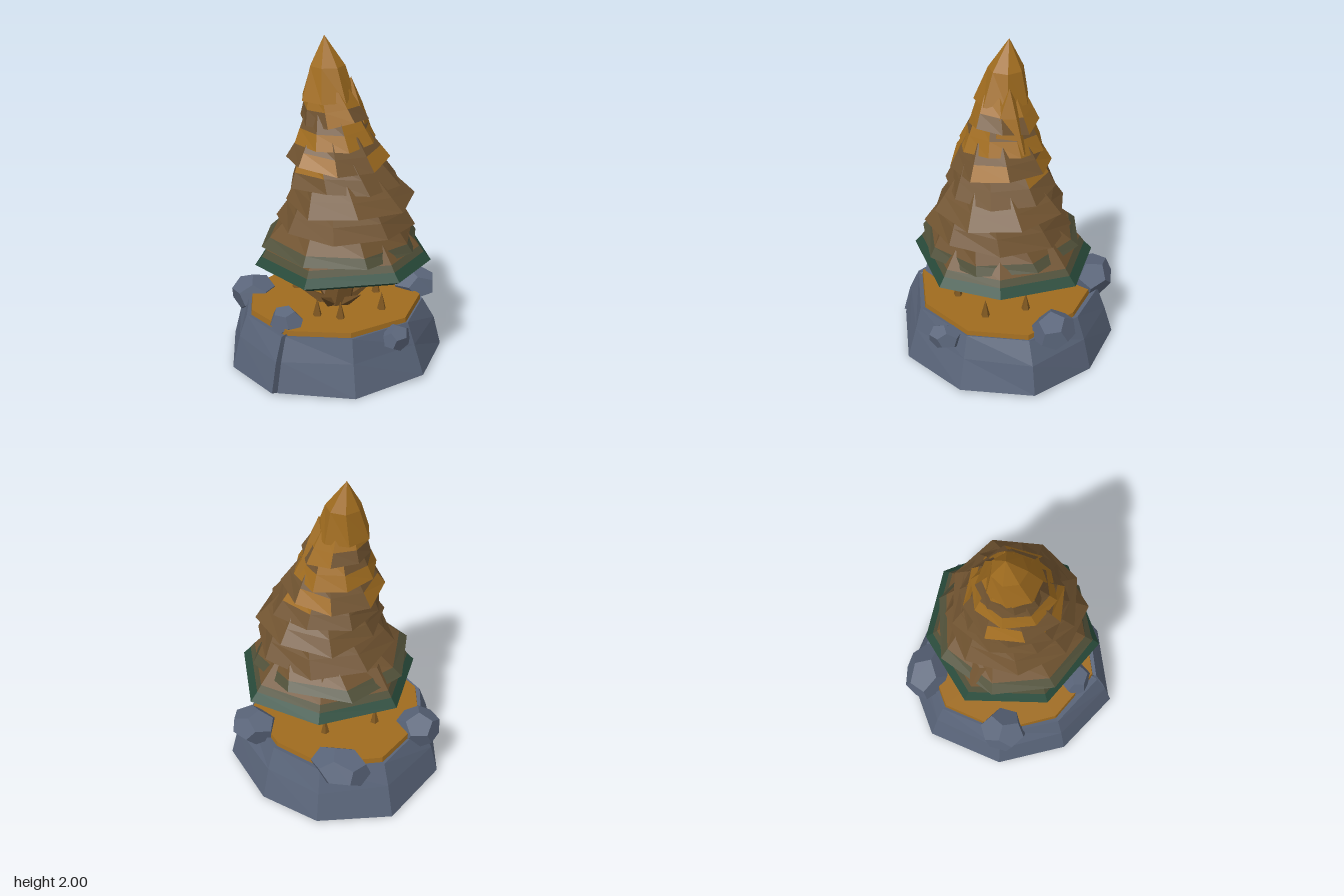
import * as THREE from 'three';

const mat = (name, color) => {
  const m = new THREE.MeshStandardMaterial({ color });
  m.name = name;
  return m;
};

// Small seeded generator, returns -1..1
let seed = 7;
const rnd = () => {
  seed = (seed * 16807) % 2147483647;
  return (seed / 2147483647) * 2 - 1;
};

const outlineRing = (pts, s, y, wob = 0) =>
  pts.map(([x, z]) => {
    const k = s * (1 + rnd() * wob);
    return [x * k, y + rnd() * wob * 0.3, z * k];
  });

const ring = (n, cx, y, cz, r, phase) =>
  Array.from({ length: n }, (_, i) => {
    const a = phase + (i / n) * Math.PI * 2;
    return [cx + Math.cos(a) * r, y, cz + Math.sin(a) * r];
  });

// Faceted skin between rings; rows[i] lists the material indices repeated round band i
function loft(rings, rows, bottom, top) {
  const pos = [], geo = new THREE.BufferGeometry(), n = rings[0].length;
  const tri = (...p) => p.forEach((v) => pos.push(...v));
  const group = (start, m) => geo.addGroup(start, pos.length / 3 - start, m);
  for (let r = 0; r < rings.length - 1; r++) {
    const a = rings[r], b = rings[r + 1];
    for (let i = 0; i < n; i++) {
      const j = (i + 1) % n, start = pos.length / 3;
      tri(a[i], b[i], b[j]);
      tri(a[i], b[j], a[j]);
      group(start, rows[r][i % rows[r].length]);
    }
  }
  const cap = (c, loop, up, m) => {
    const start = pos.length / 3;
    loop.forEach((p, i) => {
      const q = loop[(i + 1) % n];
      up ? tri(c, q, p) : tri(c, p, q);
    });
    group(start, m);
  };
  if (bottom) cap(bottom, rings[0], false, rows[0][0]);
  if (top) cap(top, rings[rings.length - 1], true, rows[rows.length - 1][0]);
  geo.setAttribute('position', new THREE.Float32BufferAttribute(pos, 3));
  geo.computeVertexNormals();
  return geo;
}

const faceted = (geo) => {
  const g = geo.index ? geo.toNonIndexed() : geo;
  g.computeVertexNormals();
  return g;
};

export function createModel() {
  seed = 7;
  const model = new THREE.Group();
  const rock = mat('slate rock', 0x5a657a);
  const gold = mat('golden leaf', 0xa06c1f);
  const brown = mat('brown leaf', 0x705330);
  const olive = mat('olive leaf', 0x505039);
  const green = mat('dark green leaf', 0x284a3a);
  const bark = mat('bark', 0x6d4d26);
  const spike = mat('golden bark', 0x80571f);
  const leaves = [green, olive, brown, gold];
  const add = (name, geo, material, parent = model) => {
    const m = new THREE.Mesh(geo, material);
    m.name = name;
    parent.add(m);
    return m;
  };

  // Rock base with a narrow split at the front, and the leaf-covered ground in it
  const outline = [[0.65, 0.05], [0.41, 0.47], [-0.01, 0.65], [-0.02, 0.6], [-0.035, 0.67],
    [-0.43, 0.46], [-0.65, 0.08], [-0.58, -0.4], [-0.21, -0.67], [0.19, -0.63], [0.57, -0.39]];
  const solid = outline.filter((_, i) => i !== 3 && i !== 4);
  const foot = outline.map(([x, z], i) => [x, i % 2 ? 0 : 0.02, z]);
  add('rockBase', loft([
    foot,
    outlineRing(outline, 0.92, 0.2, 0.02),
    outlineRing(outline, 0.84, 0.34, 0.02),
    outlineRing(outline, 0.7, 0.32),
  ], [[0], [0], [0]], [0, 0, 0], [0, 0.32, 0]), [rock]);
  add('ground', loft([
    outlineRing(solid, 0.82, 0.29), outlineRing(solid, 0.8, 0.365),
  ], [[0]], null, [0, 0.365, 0]), [gold]);

  // Boulders on the rim: x, y, z, then half sizes
  const boulders = [
    [-0.51, 0.33, 0.07, 0.14, 0.115, 0.15], [-0.28, 0.36, -0.5, 0.19, 0.115, 0.14],
    [0.36, 0.37, -0.44, 0.15, 0.11, 0.13], [0.53, 0.3, 0.18, 0.08, 0.08, 0.105],
    [-0.07, 0.37, 0.43, 0.11, 0.1, 0.09],
  ];
  const boulderGeo = faceted(new THREE.DodecahedronGeometry(1, 0));
  boulders.forEach(([x, y, z, a, b, c], i) => {
    const g = new THREE.Group();
    g.name = 'boulder';
    g.position.set(x, y, z);
    g.scale.set(a, b, c);
    add('boulderStone', boulderGeo, rock, g).rotation.set(i * 1.3, i * 0.9, 0.4);
    model.add(g);
  });

  // Leaning trunk
  add('trunk', loft([
    ring(6, 0.04, 0.34, 0, 0.1, 0.2), ring(6, 0.065, 0.47, 0, 0.09, 0.2),
    ring(6, 0.11, 0.7, -0.02, 0.08, 0.2),
  ], [[0], [0]], null, null), [bark]);

  // Pointed shoots leaning out around the trunk
  const up = new THREE.Vector3(0, 1, 0);
  const shootGeo = faceted(new THREE.ConeGeometry(0.04, 0.23, 4));
  for (let i = 0; i < 6; i++) {
    const a = i * 1.047 + 0.4;
    const s = add('shoot', shootGeo, bark);
    s.position.set(0.03 + Math.cos(a) * 0.15, 0.42, Math.sin(a) * 0.15);
    s.quaternion.setFromUnitVectors(up, new THREE.Vector3(Math.cos(a), 0.65, Math.sin(a)).normalize());
  }

  // Small upright spikes on the ground
  const spikeGeo = faceted(new THREE.ConeGeometry(0.03, 0.12, 5));
  [[-0.27, -0.05], [0.18, 0.22], [0.34, -0.01], [0.2, -0.22], [-0.05, -0.28], [0.04, 0.25]]
    .forEach(([x, z]) => add('groundSpike', spikeGeo, spike).position.set(x, 0.415, z));

  // Lowest skirt of the tree, with a green hem turned under
  const skirt = [[0.58, -0.18], [0.55, 0.2], [0.1, 0.52], [-0.35, 0.31], [-0.48, -0.18],
    [-0.15, -0.53], [0.3, -0.55]];
  const rise = [0.02, 0.01, 0, -0.015, 0.005, 0, 0.01];
  const skirtRing = (s, y, tilt) => skirt.map(([x, z], i) =>
    [0.06 + (x - 0.06) * s, y + tilt * rise[i], z * s]);
  add('lowestBranches', loft([
    skirtRing(0.9, 0.62, 1), skirtRing(1, 0.65, 1), skirtRing(0.92, 0.7, 1),
    skirtRing(0.87, 0.74, 0.8), skirtRing(0.7, 0.86, 0),
  ], [[0], [0], [1], [2]], [0.06, 0.63, 0]), leaves);

  // Overlapping branch tiers: x, hem y, z, hem radius, lower colours, upper colours
  const tiers = [
    [0.07, 0.775, -0.02, 0.49, [1], [2]], [0.09, 0.88, -0.02, 0.44, [2], [2]],
    [0.1, 1.03, -0.02, 0.385, [2], [2]], [0.08, 1.15, -0.02, 0.335, [2], [3, 2, 2, 2]],
    [0.04, 1.27, -0.01, 0.3, [2, 3], [2]], [0.03, 1.39, -0.01, 0.25, [3], [2, 2, 3]],
    [0.01, 1.52, -0.01, 0.205, [2, 2, 3], [3]], [-0.02, 1.64, 0, 0.165],
  ];
  for (let t = 0; t < tiers.length - 1; t++) {
    const [x, y, z, r, lower, upper] = tiers[t];
    const [nx, ny, nz, nr] = tiers[t + 1];
    const n = 8, phase = t * 0.47;
    const hem = ring(n, x, y, z, r, phase).map(([px, py, pz]) => {
      const k = 1 + rnd() * 0.06;
      return [x + (px - x) * k, py + rnd() * 0.022, z + (pz - z) * k];
    });
    const crown = ring(n, nx, ny + 0.06, nz, nr * 0.78, phase + 0.12);
    const f = t === 0 ? 0.3 : 0.45;
    const mid = hem.map((p, i) => p.map((v, k) => v + (crown[i][k] - v) * f));
    add('branchTier', loft([hem, mid, crown], [lower, upper], [x, y + 0.03, z]), leaves);
  }

  // Treetop, bulging below a pointed tip that sits off-centre
  add('treetop', loft([
    ring(7, -0.02, 1.64, 0, 0.165, 0.4), ring(7, -0.035, 1.83, -0.02, 0.105, 0.5),
  ], [[3]], [-0.02, 1.67, 0], [-0.06, 2, -0.03]), leaves);

  // Secondary peak leaning on the side of the treetop
  add('sidePeak', loft([
    ring(5, 0.09, 1.4, -0.07, 0.155, 0.3), ring(5, 0.09, 1.6, -0.07, 0.08, 0.3),
  ], [[3]], [0.09, 1.43, -0.07], [0.09, 1.76, -0.08]), leaves);

  return model;
}
